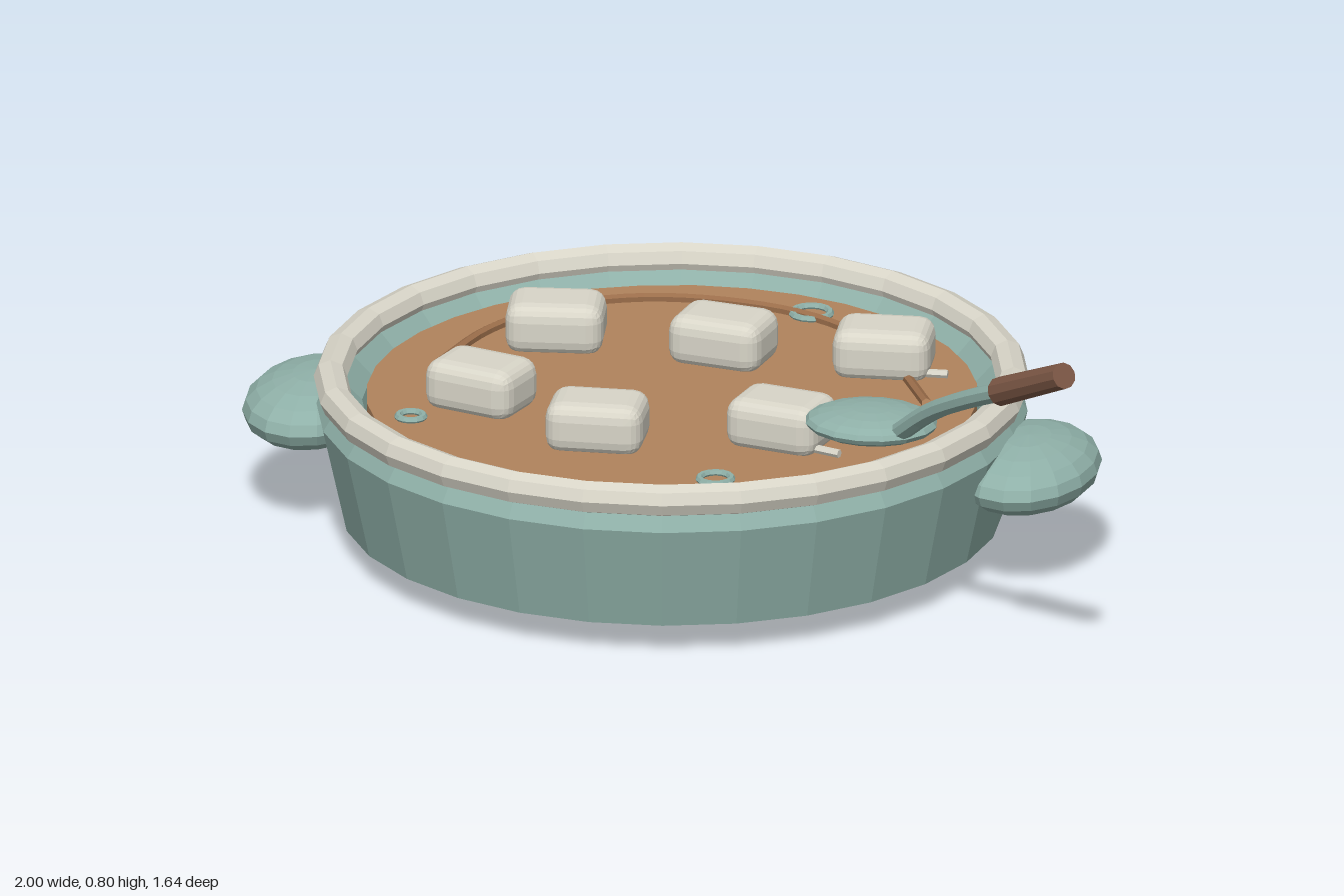
import * as THREE from 'three';
import { RoundedBoxGeometry } from 'three/addons/geometries/RoundedBoxGeometry.js';

const V3 = (x, y, z) => new THREE.Vector3(x, y, z);

function material(name, color, side = THREE.FrontSide) {
  const m = new THREE.MeshStandardMaterial({ color, side, flatShading: true });
  m.name = name;
  return m;
}

export function createModel() {
  const teal = material('teal glaze', 0x8fb0a8, THREE.DoubleSide);
  const cream = material('cream', 0xd8d5c8);
  const soup = material('brown broth', 0xb0835c);
  const stalk = material('stalk brown', 0x9a6d4a);
  const wood = material('dark wood', 0x7d5846);

  const model = new THREE.Group();
  model.name = 'hotPot';

  function add(parent, name, geometry, mat, x = 0, y = 0, z = 0) {
    const mesh = new THREE.Mesh(geometry, mat);
    mesh.name = name;
    mesh.position.set(x, y, z);
    parent.add(mesh);
    return mesh;
  }

  // Pot, sitting off centre to leave room for the ladle
  const pot = new THREE.Group();
  pot.name = 'pot';
  pot.position.set(-0.09, 0, -0.075);
  model.add(pot);

  // Wall: outside going up, then inside going down to the open base
  const profile = [
    [0.355, 0], [0.69, 0.065], [0.74, 0.29], [0.715, 0.33], [0.69, 0.345],
    [0.645, 0.3], [0.62, 0.18], [0.355, 0],
  ].map(([r, y]) => new THREE.Vector2(r, y));
  add(pot, 'potWall', new THREE.LatheGeometry(profile, 28), teal);

  const rim = add(pot, 'rim', new THREE.TorusGeometry(0.711, 0.035, 8, 28), cream, 0, 0.352, 0);
  rim.rotation.x = Math.PI / 2;

  add(pot, 'broth', new THREE.CylinderGeometry(0.637, 0.637, 0.04, 36), soup, 0, 0.3, 0);

  // Side lugs
  for (const s of [-1, 1]) {
    const lug = add(pot, s > 0 ? 'leftLug' : 'rightLug',
      new THREE.SphereGeometry(1, 16, 10), teal, s * 0.767, 0.229, 0);
    lug.scale.set(0.147, 0.073, 0.217);
  }

  // Rounded cubes floating in the broth: x, z, turn
  const cubes = [
    [-0.4, -0.31, 0.17], [-0.04, -0.31, -0.13], [0.3, -0.33, 0.12],
    [-0.46, 0.08, -0.26], [-0.17, 0.235, 0.09], [0.2, 0.135, -0.17],
  ];
  for (const [x, z, turn] of cubes) {
    const cube = add(model, 'cube', new RoundedBoxGeometry(0.205, 0.11, 0.155, 2, 0.035), cream, x, 0.366, z);
    cube.rotation.y = turn;
  }

  // Small slivers poking out beside two cubes
  for (const [x, z, turn] of [[0.41, -0.295, 0.1], [0.31, 0.2, -0.3]]) {
    const sliver = add(model, 'sliver', new THREE.CylinderGeometry(0.009, 0.009, 0.07, 6), cream, x, 0.332, z);
    sliver.rotation.set(0, turn, Math.PI / 2);
  }

  // Thin rings on the surface: x, z, radius
  for (const [x, z, r] of [[0.075, -0.595, 0.04], [-0.58, 0.2, 0.027], [0.125, 0.395, 0.034]]) {
    const ring = add(model, 'ring', new THREE.TorusGeometry(r, 0.008, 6, 14), teal, x, 0.324, z);
    ring.rotation.x = Math.PI / 2;
  }

  // Long curved stalk lying on the broth
  const stalkPath = new THREE.CatmullRomCurve3([
    [-0.6, -0.12], [-0.55, -0.33], [-0.45, -0.49], [-0.3, -0.585], [-0.13, -0.612],
    [0.06, -0.58], [0.22, -0.48], [0.33, -0.33], [0.44, -0.14],
  ].map(([x, z]) => V3(x, 0.325, z)));
  add(model, 'stalk', new THREE.TubeGeometry(stalkPath, 36, 0.011, 6), stalk);

  // Ladle: bowl, bent shaft and wooden grip
  const ladle = new THREE.Group();
  ladle.name = 'ladle';
  model.add(ladle);
  const bowl = add(ladle, 'ladleBowl', new THREE.SphereGeometry(1, 16, 10), teal, 0.445, 0.46, 0.337);
  bowl.scale.set(0.14, 0.033, 0.118);

  const shaft = new THREE.CatmullRomCurve3([
    V3(0.52, 0.465, 0.4), V3(0.61, 0.55, 0.48), V3(0.71, 0.62, 0.57), V3(0.83, 0.69, 0.67),
  ]);
  add(ladle, 'ladleShaft', new THREE.TubeGeometry(shaft, 10, 0.021, 8), teal);

  const a = V3(0.802, 0.675, 0.647), b = V3(0.977, 0.78, 0.793);
  const mid = a.clone().lerp(b, 0.5);
  const grip = add(ladle, 'ladleGrip',
    new THREE.CylinderGeometry(0.028, 0.031, a.distanceTo(b), 10), wood, mid.x, mid.y, mid.z);
  grip.quaternion.setFromUnitVectors(V3(0, 1, 0), b.clone().sub(a).normalize());

  return model;
}
